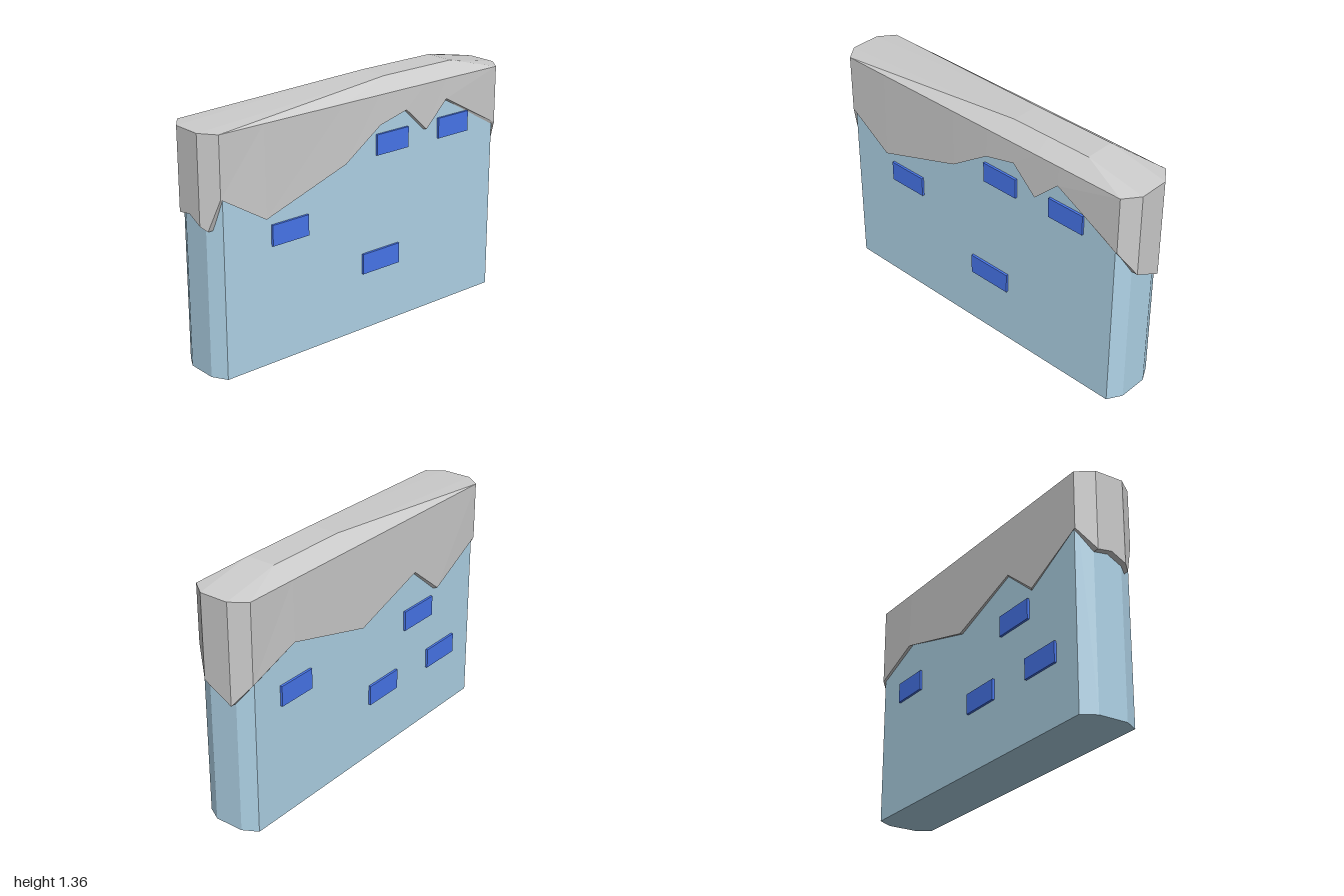
import * as THREE from 'three';

const material = (color, options = {}) => new THREE.MeshStandardMaterial({ color, flatShading: true, ...options });
const clamp = THREE.MathUtils.clamp;

// Tall block with chamfered corners, standing on the ground
function makeBody() {
  const w = 0.163, c = 0.083, d = 0.965, e = 0.92;
  const outline = [[-c, -d], [c, -d], [w, -e], [w, e], [c, d], [-c, d], [-w, e], [-w, -e]];
  const shape = new THREE.Shape(outline.map(([x, y]) => new THREE.Vector2(x, y)));
  const geometry = new THREE.ExtrudeGeometry(shape, { depth: 1.27, bevelEnabled: false });
  geometry.rotateX(-Math.PI / 2);
  const mesh = new THREE.Mesh(geometry, material(0xb0d4e8));
  mesh.name = 'body';
  return mesh;
}

// Cap with a ragged hem: skirt, underside lip, sloping roof and flat ridge
function makeCap() {
  const eave = 1.29, ridge = 1.355, zFront = -0.185, zBack = -0.665, xRidge = 0.083;
  // Hem as [x, y, z], running front, +x side, back, -x side
  const hem = [
    [-0.17, 0.97, 0.935], [-0.083, 0.85, 1], [0, 0.862, 1], [0.083, 0.82, 1], [0.115, 0.795, 0.976],
    [0.17, 0.965, 0.935], [0.178, 0.8, 0.67], [0.177, 0.97, 0.155], [0.176, 1.13, -0.08],
    [0.174, 1.175, -0.265], [0.176, 1.04, -0.41], [0.174, 1.18, -0.555], [0.17, 0.97, -0.935],
    [0.083, 0.825, -1], [-0.083, 0.735, -1],
    [-0.17, 0.85, -0.935], [-0.176, 0.96, -0.635], [-0.178, 0.815, -0.09],
    [-0.176, 0.965, 0.365], [-0.178, 0.795, 0.577],
  ];
  const toEave = ([x, , z]) => [clamp(x, -0.17, 0.17), eave, z];
  const toRidge = ([x, , z]) => [clamp(x, -xRidge, xRidge), ridge, clamp(z, zBack, zFront)];
  const toBody = ([x, y, z]) => [clamp(x, -0.162, 0.162), y, z * 0.965];

  const positions = [];
  const quad = (a, b, c, d) => positions.push(...a, ...b, ...c, ...a, ...c, ...d);
  hem.forEach((a, i) => {
    const b = hem[(i + 1) % hem.length];
    quad(a, b, toEave(b), toEave(a));
    quad(toBody(a), toBody(b), b, a);
    quad(toEave(a), toEave(b), toRidge(b), toRidge(a));
  });
  quad([-xRidge, ridge, zFront], [xRidge, ridge, zFront], [xRidge, ridge, zBack], [-xRidge, ridge, zBack]);

  const geometry = new THREE.BufferGeometry();
  geometry.setAttribute('position', new THREE.Float32BufferAttribute(positions, 3));
  geometry.computeVertexNormals();
  const mesh = new THREE.Mesh(geometry, material(0xcccccc));
  mesh.name = 'cap';
  return mesh;
}

// Thin raised panels on both long sides: [side, y, z, width]
function makePanels() {
  const group = new THREE.Group();
  group.name = 'panels';
  const blue = material(0x4876ec);
  const layout = [
    [1, 0.702, 0.515, 0.23], [1, 0.382, -0.095, 0.255], [1, 1.025, -0.17, 0.22], [1, 1.025, -0.61, 0.22],
    [-1, 0.702, -0.62, 0.23], [-1, 0.38, 0.1, 0.24], [-1, 0.702, 0.41, 0.25], [-1, 0.38, 0.63, 0.25],
  ];
  layout.forEach(([side, y, z, width], i) => {
    const panel = new THREE.Mesh(new THREE.BoxGeometry(0.03, 0.113, width), blue);
    panel.position.set(side * 0.161, y, z);
    panel.name = `panel${i + 1}`;
    group.add(panel);
  });
  return group;
}

export function createModel() {
  const model = new THREE.Group();
  model.name = 'cappedBlock';
  model.add(makeBody(), makeCap(), makePanels());
  return model;
}
